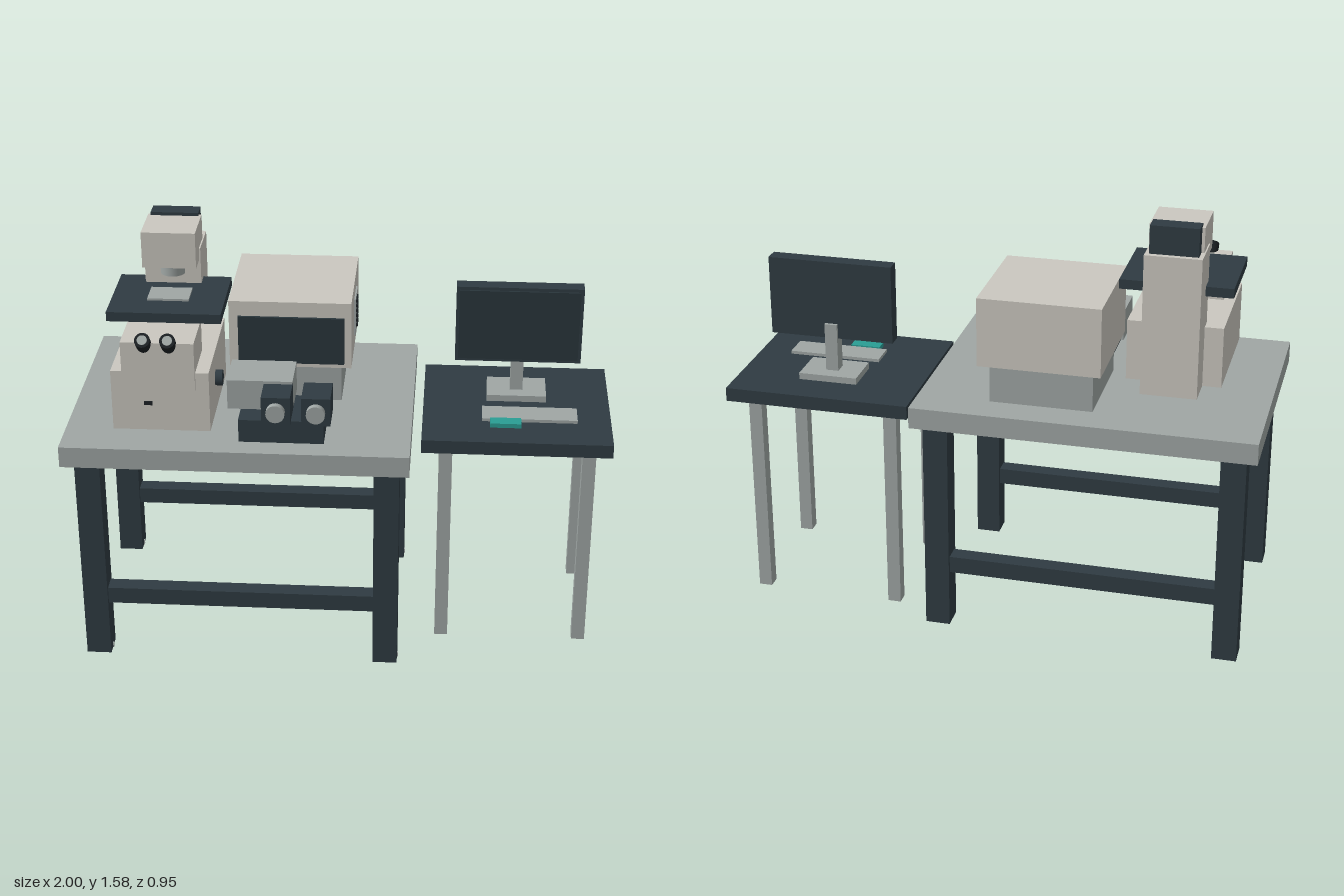
import * as THREE from 'three';

const mat = (name, color) => {
  const m = new THREE.MeshStandardMaterial({ color });
  m.name = name;
  return m;
};

export function createModel() {
  const cream = mat('cream', 0xcac7bf);
  const dark = mat('dark slate', 0x2f3b42);
  const grey = mat('grey', 0x9fa6a4);
  const screen = mat('screen', 0x29353b);
  const black = mat('black', 0x1b2023);
  const teal = mat('teal', 0x2a9d94);

  const model = new THREE.Group();
  model.name = 'microscopeWorkstation';
  const group = (name) => {
    const g = new THREE.Group();
    g.name = name;
    model.add(g);
    return g;
  };
  // box given by its extents on each axis
  const box = (parent, name, m, [x0, x1], [y0, y1], [z0, z1]) => {
    const mesh = new THREE.Mesh(new THREE.BoxGeometry(x1 - x0, y1 - y0, z1 - z0), m);
    mesh.position.set((x0 + x1) / 2, (y0 + y1) / 2, (z0 + z1) / 2);
    mesh.name = name;
    parent.add(mesh);
    return mesh;
  };
  // cylinder centred at a point, turned by rx and rz
  const cyl = (parent, name, m, r, h, pos, rx = 0, rz = 0) => {
    const mesh = new THREE.Mesh(new THREE.CylinderGeometry(r, r, h, 24), m);
    mesh.position.set(...pos);
    mesh.rotation.set(rx, 0, rz);
    mesh.name = name;
    parent.add(mesh);
    return mesh;
  };

  // Main table
  const table = group('mainTable');
  box(table, 'tableTop', grey, [-1, 0.262], [0.832, 0.912], [-0.476, 0.474]);
  for (const x of [-0.911, 0.179]) {
    for (const z of [-0.379, 0.381]) {
      box(table, 'tableLeg', dark, [x - 0.046, x + 0.046], [0.002, 0.832], [z - 0.046, z + 0.046]);
      box(table, 'footPlate', black, [x - 0.032, x + 0.032], [0, 0.004], [z - 0.032, z + 0.032]);
      box(table, 'footBolt', grey, [x + 0.04, x + 0.049], [0, 0.02], [z - 0.006, z + 0.006]);
    }
  }
  for (const z of [-0.379, 0.381]) {
    box(table, 'tableRail', dark, [-0.866, 0.134], [0.22, 0.285], [z - 0.032, z + 0.032]);
  }

  // Side desk
  const desk = group('sideDesk');
  box(desk, 'deskTop', dark, [0.298, 1], [0.818, 0.87], [-0.382, 0.258]);
  for (const x of [0.388, 0.917]) {
    for (const z of [-0.282, 0.194]) {
      box(desk, 'deskLeg', grey, [x - 0.025, x + 0.025], [0, 0.818], [z - 0.025, z + 0.025]);
    }
  }

  // Monitor, keyboard and pad
  const computer = group('computer');
  box(computer, 'monitorCase', dark, [0.412, 0.886], [1.022, 1.324], [-0.17, -0.112]);
  box(computer, 'monitorScreen', screen, [0.424, 0.874], [1.034, 1.312], [-0.112, -0.105]);
  box(computer, 'monitorNeck', grey, [0.625, 0.673], [0.893, 1.08], [-0.182, -0.13]);
  box(computer, 'monitorBase', grey, [0.538, 0.762], [0.87, 0.895], [-0.236, -0.078]);
  box(computer, 'keyboard', grey, [0.52, 0.875], [0.87, 0.882], [-0.012, 0.091]);
  box(computer, 'mousePad', teal, [0.55, 0.665], [0.87, 0.887], [0.091, 0.141]);

  // Microscope
  const scope = group('microscope');
  box(scope, 'scopeBase', cream, [-0.813, -0.46], [0.945, 1.176], [-0.1, 0.376]);
  box(scope, 'eyepieceHousing', cream, [-0.77, -0.508], [1.113, 1.296], [0.182, 0.39]);
  box(scope, 'scopeColumn', cream, [-0.743, -0.535], [0.945, 1.477], [-0.226, -0.053]);
  box(scope, 'scopeHead', cream, [-0.738, -0.54], [1.433, 1.57], [-0.155, 0.036]);
  box(scope, 'lampHousing', dark, [-0.727, -0.55], [1.477, 1.582], [-0.206, -0.138]);
  box(scope, 'stage', dark, [-0.845, -0.43], [1.302, 1.338], [-0.118, 0.228]);
  box(scope, 'samplePlate', grey, [-0.712, -0.56], [1.338, 1.346], [0.01, 0.116]);
  box(scope, 'basePort', black, [-0.696, -0.666], [1.045, 1.06], [0.374, 0.38]);
  cyl(scope, 'condenser', grey, 0.046, 0.056, [-0.64, 1.405, -0.062]);
  cyl(scope, 'objective', grey, 0.046, 0.13, [-0.64, 1.237, 0.06]);
  cyl(scope, 'focusKnob', dark, 0.029, 0.03, [-0.449, 1.07, 0.19], 0, Math.PI / 2);
  for (const x of [-0.687, -0.598]) {
    cyl(scope, 'eyepiece', black, 0.028, 0.055, [x, 1.295, 0.388], Math.PI / 4);
    cyl(scope, 'eyepieceLens', grey, 0.018, 0.004, [x, 1.315, 0.408], Math.PI / 4);
  }

  // Large instrument box on its plinth
  const unit = group('instrumentUnit');
  box(unit, 'unitPlinth', grey, [-0.388, -0.008], [0.912, 1.062], [-0.349, 0.035]);
  box(unit, 'unitCase', cream, [-0.422, 0.03], [1.062, 1.322], [-0.385, 0.067]);
  box(unit, 'unitWindow', screen, [-0.388, 0.004], [1.08, 1.264], [0.067, 0.077]);
  box(unit, 'ventPlate', grey, [0.03, 0.036], [1.117, 1.263], [-0.234, -0.11]);
  for (let i = 0; i < 6; i++) {
    const y = 1.142 + i * 0.02;
    box(unit, 'ventSlat', black, [0.036, 0.042], [y, y + 0.009], [-0.187, -0.13]);
  }

  // Small detector unit with two round ports
  const detector = group('detectorUnit');
  box(detector, 'detectorBase', dark, [-0.358, -0.05], [0.912, 1.0], [0.178, 0.388]);
  box(detector, 'detectorBox', grey, [-0.406, -0.168], [1.0, 1.114], [0.128, 0.3]);
  for (const x of [-0.22, -0.076]) {
    box(detector, 'detectorHead', dark, [x - 0.052, x + 0.052], [0.997, 1.104], [0.28, 0.412]);
    cyl(detector, 'portRing', grey, 0.034, 0.024, [x, 1.05, 0.424], Math.PI / 2);
  }

  return model;
}
